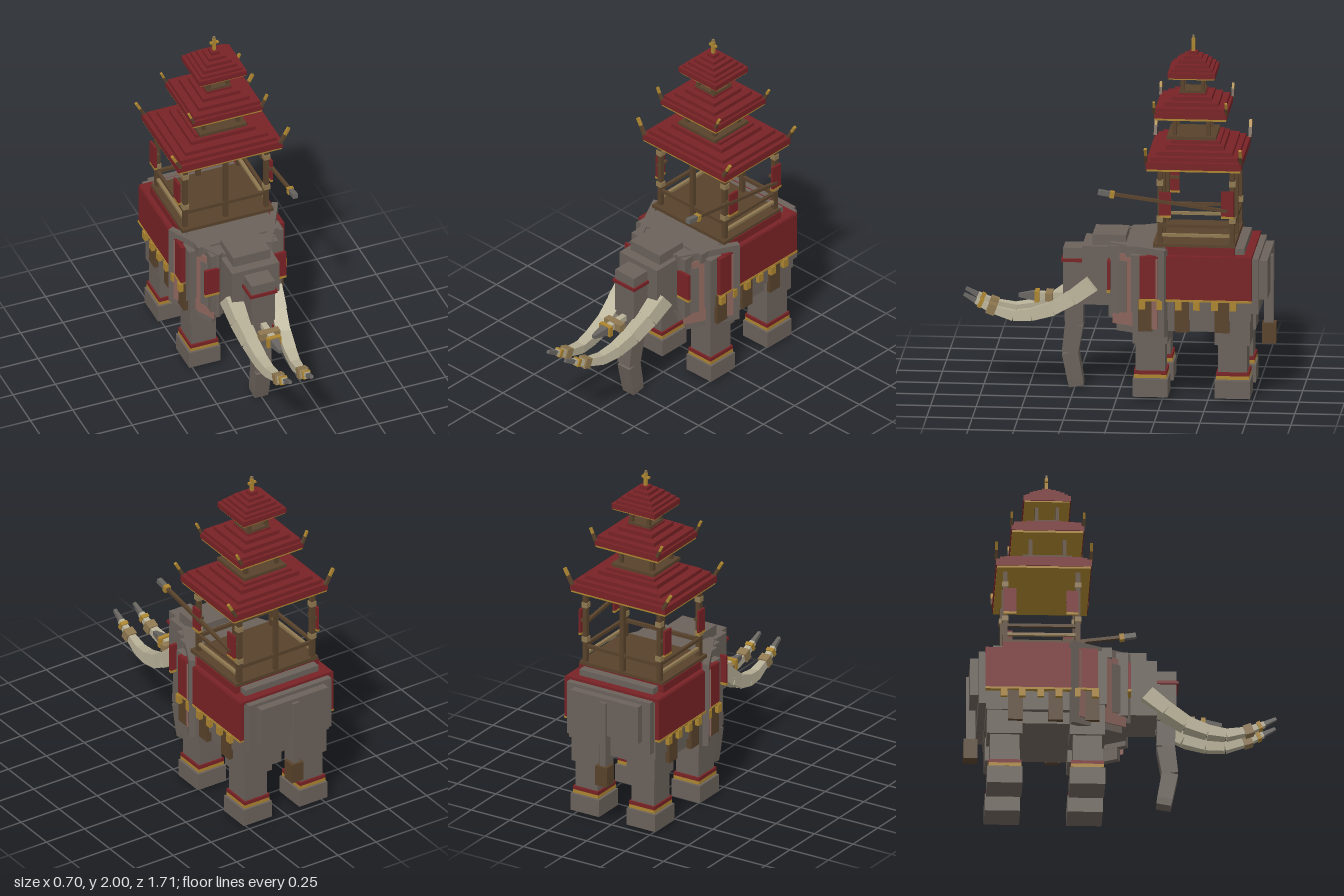
import * as THREE from 'three';

const mat = (name, color, side = THREE.FrontSide) => {
  const m = new THREE.MeshStandardMaterial({ color, side, flatShading: true });
  m.name = name;
  return m;
};

export function createModel() {
  const root = new THREE.Group();
  root.name = 'elephantWithTower';
  const hide = mat('greyHide', 0x6a615a), red = mat('redCloth', 0x782225), gold = mat('gold', 0xab842f),
    wood = mat('darkWood', 0x58422b), tan = mat('tanBinding', 0x8f7850), ivory = mat('ivory', 0xb8b198),
    pink = mat('pinkSkin', 0x8a645c), steel = mat('steel', 0x676460);

  // Box given by its min/max limits on each axis
  const box = (name, m, x0, x1, y0, y1, z0, z1, parent = root) => {
    const mesh = new THREE.Mesh(new THREE.BoxGeometry(x1 - x0, y1 - y0, z1 - z0), m);
    mesh.position.set((x0 + x1) / 2, (y0 + y1) / 2, (z0 + z1) / 2);
    mesh.name = name;
    parent.add(mesh);
    return mesh;
  };
  // Box centred on x = 0
  const mid = (name, m, hx, y0, y1, z0, z1) => box(name, m, -hx, hx, y0, y1, z0, z1);
  // Pair of boxes mirrored in x
  const pair = (name, m, x0, x1, ...r) => {
    box(name, m, x0, x1, ...r);
    box(name, m, -x1, -x0, ...r);
  };
  // Square tapered bar from a to b
  const beam = (name, m, a, b, w0, w1 = w0) => {
    const p = new THREE.Vector3(...a), q = new THREE.Vector3(...b);
    const d = q.clone().sub(p);
    const g = new THREE.CylinderGeometry(w1 * Math.SQRT1_2, w0 * Math.SQRT1_2, d.length(), 4);
    g.rotateY(Math.PI / 4);
    const mesh = new THREE.Mesh(g, m);
    mesh.position.copy(p).add(q).multiplyScalar(0.5);
    mesh.quaternion.setFromUnitVectors(new THREE.Vector3(0, 1, 0), d.normalize());
    mesh.name = name;
    root.add(mesh);
  };

  // Body
  mid('torso', hide, 0.28, 0.46, 0.82, -0.74, -0.12);
  mid('belly', hide, 0.25, 0.39, 0.47, -0.7, -0.14);
  mid('backRidge', hide, 0.24, 0.8, 0.86, -0.7, -0.05);
  mid('shoulders', hide, 0.28, 0.5, 0.82, -0.17, -0.08);
  mid('neck', hide, 0.2, 0.47, 0.85, -0.12, 0.04);
  mid('rump', hide, 0.27, 0.5, 0.81, -0.78, -0.7);
  mid('rumpPlate', hide, 0.22, 0.57, 0.79, -0.825, -0.77);
  mid('tail', hide, 0.02, 0.38, 0.77, -0.84, -0.79);
  mid('tailTuft', wood, 0.038, 0.275, 0.39, -0.855, -0.78);

  // Legs with anklets
  for (const z of [-0.185, -0.637]) {
    pair('foot', hide, 0.09, 0.275, 0.02, 0.12, z - 0.097, z + 0.097);
    pair('leg', hide, 0.11, 0.255, 0.12, 0.36, z - 0.08, z + 0.08);
    pair('upperLeg', hide, 0.09, 0.27, 0.32, 0.5, z - 0.097, z + 0.097);
    pair('ankletGold', gold, 0.1, 0.265, 0.125, 0.145, z - 0.09, z + 0.09);
    pair('ankletRed', red, 0.1, 0.265, 0.145, 0.165, z - 0.09, z + 0.09);
  }

  // Head and trunk
  mid('head', hide, 0.14, 0.5, 0.83, 0, 0.2);
  mid('crown', hide, 0.11, 0.8, 0.89, -0.04, 0.145);
  mid('trunkBase', hide, 0.07, 0.51, 0.8, 0.17, 0.31);
  mid('headband', red, 0.08, 0.722, 0.74, 0.2, 0.32);
  const trunk = [[0.56, 0.255, 0.105], [0.36, 0.252, 0.1], [0.2, 0.275, 0.09], [0.05, 0.247, 0.085], [0.01, 0.24, 0.08]];
  for (let i = 0; i < 4; i++) {
    const [y0, z0, w0] = trunk[i], [y1, z1, w1] = trunk[i + 1];
    beam('trunk', hide, [0, y0, z0], [0, y1, z1], w0, w1);
  }

  // Curved tusks: height, z, x, width
  const tusk = [[0.62, 0.14, 0.125, 0.095], [0.535, 0.25, 0.115, 0.085], [0.465, 0.36, 0.1, 0.075],
    [0.425, 0.48, 0.09, 0.065], [0.415, 0.58, 0.08, 0.055], [0.445, 0.7, 0.07, 0.04], [0.49, 0.79, 0.066, 0.03]];
  for (const s of [1, -1]) {
    for (let i = 0; i < tusk.length - 1; i++) {
      const [y0, z0, x0, w0] = tusk[i], [y1, z1, x1, w1] = tusk[i + 1];
      beam('tusk', ivory, [s * x0, y0, z0], [s * x1, y1, z1], w0, w1);
    }
    beam('tuskCollar', tan, [s * 0.07, 0.44, 0.68], [s * 0.07, 0.457, 0.725], 0.058);
    beam('tuskRing', gold, [s * 0.068, 0.472, 0.753], [s * 0.068, 0.482, 0.773], 0.045);
    beam('tuskSpike', steel, [s * 0.066, 0.488, 0.785], [s * 0.064, 0.526, 0.855], 0.027, 0.017);
  }

  // Straight spike in front of the trunk
  beam('frontSpikeShaft', ivory, [0, 0.52, 0.28], [0, 0.51, 0.46], 0.03, 0.04);
  mid('frontSpikeCollar', tan, 0.06, 0.49, 0.535, 0.37, 0.41);
  mid('frontSpikeRing', gold, 0.04, 0.48, 0.54, 0.445, 0.47);
  beam('frontSpikeTip', steel, [0, 0.51, 0.47], [0, 0.51, 0.56], 0.05, 0.02);

  // Ears, swept back and outward
  for (const s of [1, -1]) {
    const ear = new THREE.Group();
    ear.name = s > 0 ? 'leftEar' : 'rightEar';
    ear.position.set(s * 0.225, 0, -0.115);
    ear.rotation.y = -s * 0.477;
    root.add(ear);
    box('earFlap', hide, -0.018, 0.018, 0.44, 0.86, -0.18, 0.18, ear);
    box('earLobe', hide, -0.017, 0.017, 0.37, 0.45, -0.18, 0.13, ear);
    const x = s * 0.021;
    box('innerEar', pink, x - 0.004, x + 0.004, 0.41, 0.81, -0.14, 0.15, ear);
    box('innerEarFold', hide, x * 1.25 - 0.004, x * 1.25 + 0.004, 0.48, 0.77, 0.06, 0.13, ear);
  }
  pair('earBanner', red, 0.155, 0.24, 0.61, 0.77, 0.038, 0.055);
  pair('earBannerTrim', gold, 0.155, 0.24, 0.595, 0.61, 0.037, 0.056);

  // Blanket, fringe and hanging bags
  pair('blanketSide', red, 0.28, 0.306, 0.58, 0.82, -0.745, -0.13);
  mid('blanketTop', red, 0.275, 0.81, 0.87, -0.65, -0.27);
  mid('blanketFold', red, 0.3, 0.805, 0.825, -0.745, -0.17);
  pair('blanketTrim', gold, 0.28, 0.31, 0.57, 0.582, -0.745, -0.13);
  for (let i = 0; i < 6; i++) {
    const z = -0.143 - i * 0.1;
    pair('tassel', gold, 0.295, 0.318, 0.525, 0.575, z - 0.018, z + 0.018);
  }
  for (const z of [-0.16, -0.36, -0.58]) pair('hangingBag', wood, 0.265, 0.295, 0.395, 0.575, z - 0.04, z + 0.04);

  // Tower floor, posts and rails
  mid('towerFloor', wood, 0.27, 0.865, 0.885, -0.65, -0.2);
  for (const z of [-0.236, -0.634]) {
    pair('post', wood, 0.227, 0.253, 0.88, 1.31, z - 0.013, z + 0.013);
    mid('middlePost', wood, 0.013, 0.88, 1.31, z - 0.012, z + 0.012);
    for (const y of [1.02, 1.225]) pair('postBinding', tan, 0.222, 0.258, y - 0.015, y + 0.015, z - 0.018, z + 0.018);
    mid('endRail', wood, 0.235, 0.968, 0.988, z - 0.009, z + 0.009);
  }
  pair('sideRail', wood, 0.232, 0.25, 0.975, 0.992, -0.634, -0.236);
  pair('lowSideRail', tan, 0.232, 0.25, 0.922, 0.938, -0.634, -0.236);

  // Side banners
  for (const [z0, z1, y1] of [[-0.3, -0.235, 1.18], [-0.645, -0.575, 1.19]]) {
    pair('sideBanner', red, 0.267, 0.28, 1.05, y1, z0, z1);
    pair('bannerTrim', gold, 0.266, 0.281, 1.037, 1.05, z0, z1);
    pair('bannerBracket', wood, 0.25, 0.27, 1.12, 1.135, (z0 + z1) / 2 - 0.034, (z0 + z1) / 2 + 0.034);
  }

  // Lance on the left side
  beam('lanceShaft', wood, [0.277, 1.08, -0.61], [0.277, 1.166, 0.04], 0.018);
  beam('lanceRing', gold, [0.277, 1.159, 0.01], [0.277, 1.163, 0.035], 0.036);
  beam('lanceHead', steel, [0.277, 1.164, 0.035], [0.277, 1.174, 0.1], 0.028);

  // Stepped roofs: each step is half width, half depth, bottom, top
  const roof = (name, zc, trimY, steps) => {
    const [hx, hz] = steps[0];
    mid(name + 'Trim', gold, hx - 0.005, trimY, steps[0][2], zc - hz + 0.005, zc + hz - 0.005);
    for (const [x, z, y0, y1] of steps) mid(name, red, x, y0, y1, zc - z, zc + z);
  };
  roof('lowerRoof', -0.425, 1.303, [[0.31, 0.262, 1.315, 1.355], [0.285, 0.24, 1.355, 1.378],
    [0.245, 0.21, 1.375, 1.4], [0.19, 0.16, 1.4, 1.425], [0.155, 0.135, 1.425, 1.442]]);
  roof('middleRoof', -0.4, 1.565, [[0.207, 0.2, 1.577, 1.61], [0.195, 0.185, 1.61, 1.632],
    [0.15, 0.15, 1.632, 1.655], [0.11, 0.11, 1.655, 1.678], [0.075, 0.075, 1.678, 1.69]]);
  roof('upperRoof', -0.4, 1.78, [[0.14, 0.13, 1.787, 1.818], [0.12, 0.115, 1.818, 1.835],
    [0.1, 0.095, 1.835, 1.855], [0.075, 0.075, 1.855, 1.875], [0.05, 0.05, 1.875, 1.893], [0.025, 0.025, 1.893, 1.912]]);

  // Decks and posts between the roofs
  mid('middleDeck', wood, 0.138, 1.442, 1.46, -0.535, -0.265);
  mid('upperDeck', wood, 0.07, 1.688, 1.703, -0.47, -0.33);
  for (const s of [1, -1]) {
    const z2 = -0.398 + s * 0.092, z3 = -0.4 + s * 0.056;
    pair('middlePost', wood, 0.09, 0.112, 1.46, 1.57, z2 - 0.011, z2 + 0.011);
    pair('upperPost', wood, 0.045, 0.066, 1.7, 1.785, z3 - 0.01, z3 + 0.01);
  }

  // Corner horns with gilded tips
  const horn = (x, y, z, dx, dy, w) => {
    for (const s of [1, -1]) {
      beam('hornBase', wood, [s * x, y, z], [s * (x + dx * 0.55), y + dy * 0.55, z], w);
      beam('hornTip', gold, [s * (x + dx * 0.5), y + dy * 0.5, z], [s * (x + dx), y + dy, z], w * 0.9);
    }
  };
  for (const z of [-0.685, -0.165]) horn(0.295, 1.35, z, 0.05, 0.09, 0.018);
  for (const z of [-0.598, -0.202]) horn(0.2, 1.605, z, 0.032, 0.07, 0.015);

  // Finial
  box('finial', gold, -0.009, 0.009, 1.91, 1.985, -0.409, -0.391);
  box('finialTip', tan, -0.006, 0.006, 1.98, 2, -0.406, -0.394);
  box('finialCross', gold, -0.025, 0.025, 1.955, 1.967, -0.407, -0.393);

  return root;
}
